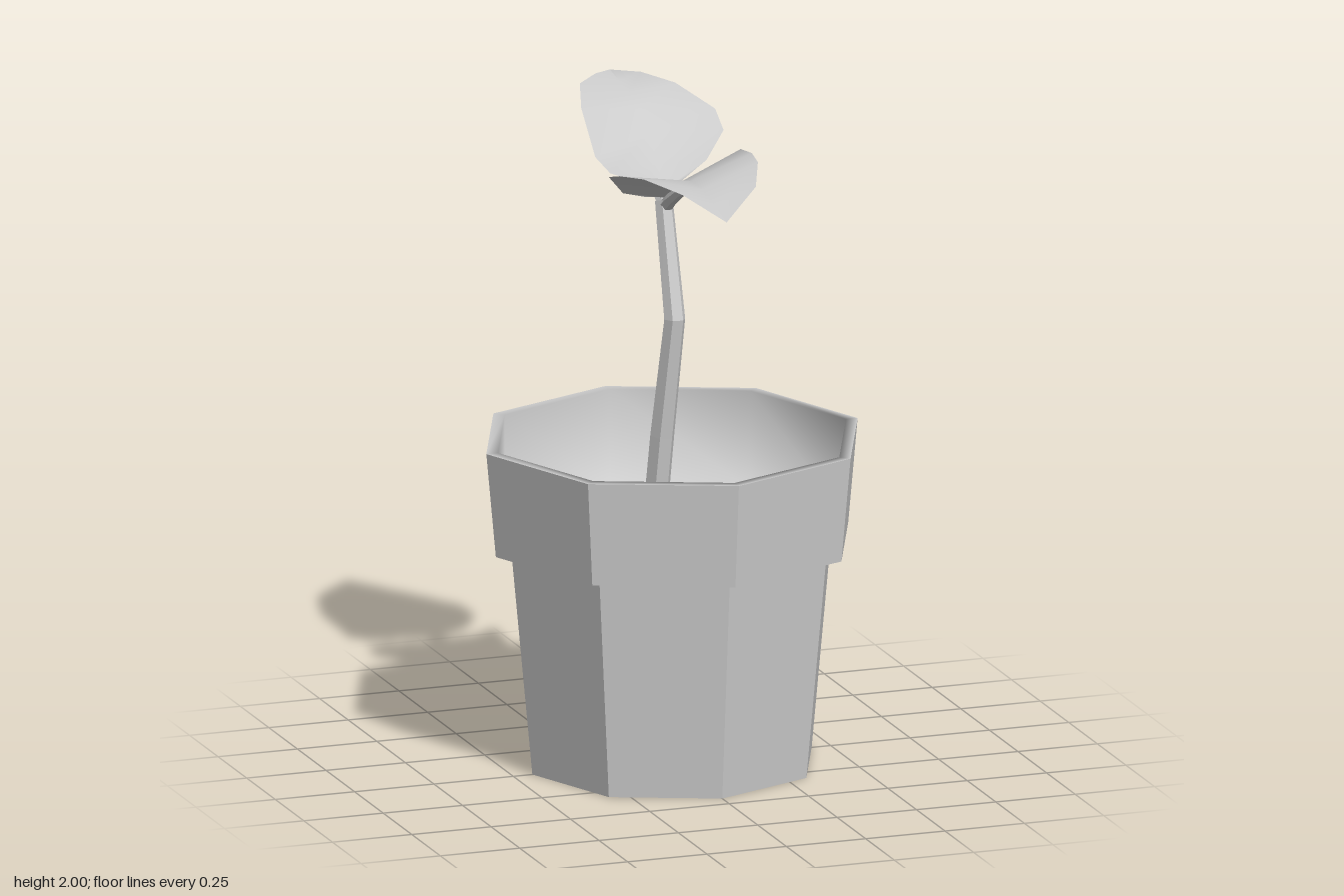
import * as THREE from 'three';
import { mergeVertices } from 'three/addons/utils/BufferGeometryUtils.js';

const flat = new THREE.MeshStandardMaterial({ color: 0xcccccc, flatShading: true });
const smooth = new THREE.MeshStandardMaterial({ color: 0xcccccc });
const thin = new THREE.MeshStandardMaterial({ color: 0xcccccc, side: THREE.DoubleSide });
const V = (x, y, z) => new THREE.Vector3(x, y, z);

function add(parent, name, geometry, material) {
  const mesh = new THREE.Mesh(geometry, material);
  mesh.name = name;
  parent.add(mesh);
}

// Skin a grid of points: rows along the part, columns across it.
function skin(rows) {
  const n = rows[0].length;
  const index = [];
  for (let i = 0; i < rows.length - 1; i++) {
    for (let j = 0; j < n - 1; j++) {
      const a = i * n + j, b = a + n;
      index.push(a, b, a + 1, a + 1, b, b + 1);
    }
  }
  const geometry = new THREE.BufferGeometry().setFromPoints(rows.flat());
  geometry.setIndex(index);
  geometry.computeVertexNormals();
  return geometry;
}

// Faceted stalk through a few points; each point is [x, y, z, radius].
function stalk(path, sides = 6) {
  const pts = path.map(([x, y, z]) => V(x, y, z));
  return skin(pts.map((p, i) => {
    const t = pts[Math.min(i + 1, pts.length - 1)].clone().sub(pts[Math.max(i - 1, 0)]).normalize();
    const n = V(1, 0, 0).addScaledVector(t, -t.x).normalize();
    const b = n.clone().cross(t);
    return Array.from({ length: sides + 1 }, (_, k) => {
      const a = (k / sides) * Math.PI * 2;
      return p.clone()
        .addScaledVector(n, Math.cos(a) * path[i][3])
        .addScaledVector(b, Math.sin(a) * path[i][3]);
    });
  }));
}

// Folded leaf: each row gives one edge, the midrib and the other edge.
const leaf = (rows) => skin(rows.map((row) => row.map((p) => V(...p))));

const profile = (pts) => new THREE.LatheGeometry(pts.map(([r, y]) => new THREE.Vector2(r, y)), 8);

// Share vertices so the shading runs smoothly over every edge.
function blended(geometry) {
  geometry.deleteAttribute('normal');
  geometry.deleteAttribute('uv');
  const merged = mergeVertices(geometry);
  merged.computeVertexNormals();
  return merged;
}

export function createModel() {
  const model = new THREE.Group();
  model.name = 'pottedSeedling';

  // Eight-sided pot with an overhanging collar; upright inner wall down to a level soil
  const pot = new THREE.Group();
  pot.name = 'pot';
  model.add(pot);
  add(pot, 'potShell', profile([[0, 0], [0.44, 0], [0.505, 0.68], [0.555, 0.68], [0.585, 1]]), flat);
  add(pot, 'potInside', blended(profile([[0.585, 1], [0.548, 1], [0.546, 0.7], [0, 0.7]])), smooth);

  // Bent stem that forks into two leaf stalks
  const plant = new THREE.Group();
  plant.name = 'seedling';
  model.add(plant);
  add(plant, 'stem', stalk([
    [-0.034, 0.68, -0.07, 0.039], [-0.022, 1, -0.024, 0.038],
    [-0.004, 1.37, 0.035, 0.033], [-0.003, 1.71, -0.063, 0.028],
  ]), flat);
  add(plant, 'frontLeafStalk', stalk([
    [0, 1.69, -0.06, 0.022], [0, 1.725, -0.01, 0.02],
    [0, 1.77, 0.07, 0.017], [0, 1.818, 0.19, 0.01],
  ]), flat);
  add(plant, 'backLeafStalk', stalk([
    [0, 1.69, -0.06, 0.022], [0, 1.75, -0.14, 0.022],
    [0, 1.845, -0.22, 0.021], [0, 1.92, -0.31, 0.016],
  ]), flat);

  // Front leaf, drooping at its tip
  add(plant, 'frontLeaf', leaf([
    [[-0.07, 1.73, -0.05], [0, 1.72, -0.055], [0.07, 1.73, -0.06]],
    [[-0.14, 1.75, -0.04], [0, 1.755, 0], [0.14, 1.735, -0.065]],
    [[-0.21, 1.825, 0.03], [0, 1.795, 0.06], [0.22, 1.86, -0.01]],
    [[-0.22, 1.86, 0.15], [0, 1.83, 0.17], [0.212, 1.88, 0.11]],
    [[-0.17, 1.865, 0.225], [0, 1.83, 0.27], [0.195, 1.88, 0.21]],
    [[-0.09, 1.84, 0.34], [0, 1.808, 0.38], [0.14, 1.845, 0.345]],
    [[0, 1.783, 0.478], [0, 1.783, 0.478], [0, 1.783, 0.478]],
  ]), thin);

  // Back leaf, rising and levelling out
  add(plant, 'backLeaf', leaf([
    [[0.05, 1.755, -0.075], [0, 1.74, -0.07], [-0.08, 1.77, -0.065]],
    [[0.14, 1.815, -0.085], [0, 1.805, -0.13], [-0.18, 1.815, -0.042]],
    [[0.213, 1.885, -0.14], [0, 1.88, -0.2], [-0.222, 1.865, -0.055]],
    [[0.215, 1.93, -0.22], [0, 1.93, -0.29], [-0.203, 1.968, -0.23]],
    [[0.13, 1.988, -0.335], [0, 1.958, -0.38], [-0.15, 1.997, -0.39]],
    [[0.06, 2, -0.44], [0, 1.973, -0.46], [-0.07, 1.998, -0.475]],
    [[0, 1.985, -0.545], [0, 1.985, -0.545], [0, 1.985, -0.545]],
  ]), thin);

  return model;
}
